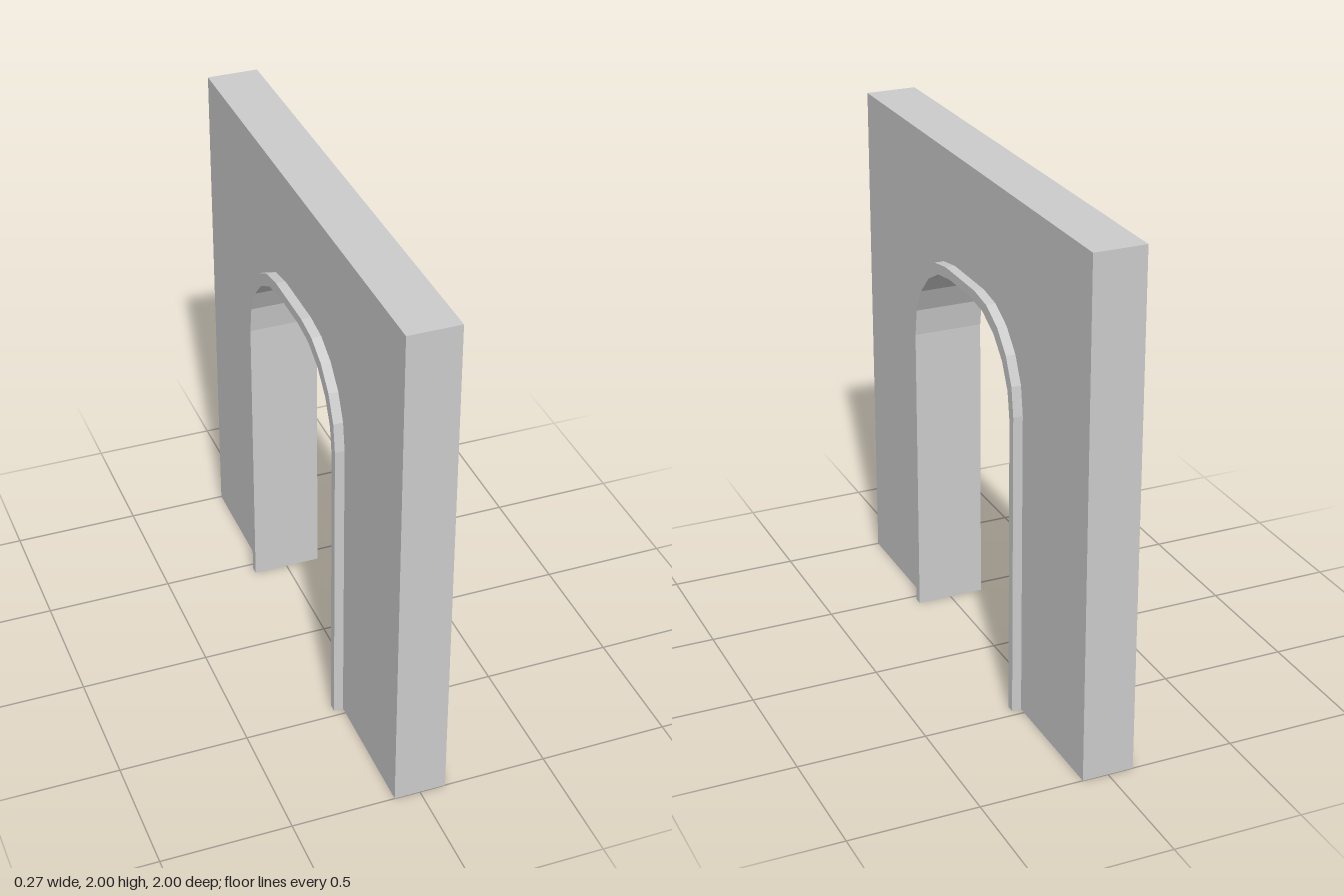
import * as THREE from 'three';

// Open arch outline from one foot over the top to the other:
// straight jamb, faceted corner, short flat crown, mirrored
function archPoints(halfWidth, flat, springY, topY, segments = 5) {
  const half = [new THREE.Vector2(halfWidth, 0)];
  for (let i = 0; i <= segments; i++) {
    const a = (i / segments) * Math.PI / 2;
    half.push(new THREE.Vector2(
      flat + (halfWidth - flat) * Math.cos(a),
      springY + (topY - springY) * Math.sin(a)));
  }
  const mirrored = half.map(p => new THREE.Vector2(-p.x, p.y)).reverse();
  return [...half, ...mirrored];
}

// Extrude an outline drawn in (z, y), centred across the wall's thickness
function slab(name, points, thickness, material) {
  const geometry = new THREE.ExtrudeGeometry(new THREE.Shape(points),
    { depth: thickness, bevelEnabled: false });
  geometry.translate(0, 0, -thickness / 2);
  geometry.rotateY(-Math.PI / 2);
  const mesh = new THREE.Mesh(geometry, material);
  mesh.name = name;
  return mesh;
}

export function createModel() {
  const group = new THREE.Group();
  group.name = 'archwayWall';
  const material = new THREE.MeshStandardMaterial({ color: 0xcccccc, flatShading: true });

  const outer = archPoints(0.473, 0.133, 1.21, 1.57);
  const inner = archPoints(0.44, 0.1, 1.185, 1.533);

  // Wall panel with the doorway cut up from the floor
  const corners = [[-1, 0], [-1, 2], [1, 2], [1, 0]].map(([z, y]) => new THREE.Vector2(z, y));
  group.add(slab('wall', [...corners, ...outer], 0.2, material));

  // Door frame lining the opening and standing proud of both wall faces
  group.add(slab('archFrame', [...outer, ...inner.slice().reverse()], 0.274, material));

  return group;
}
